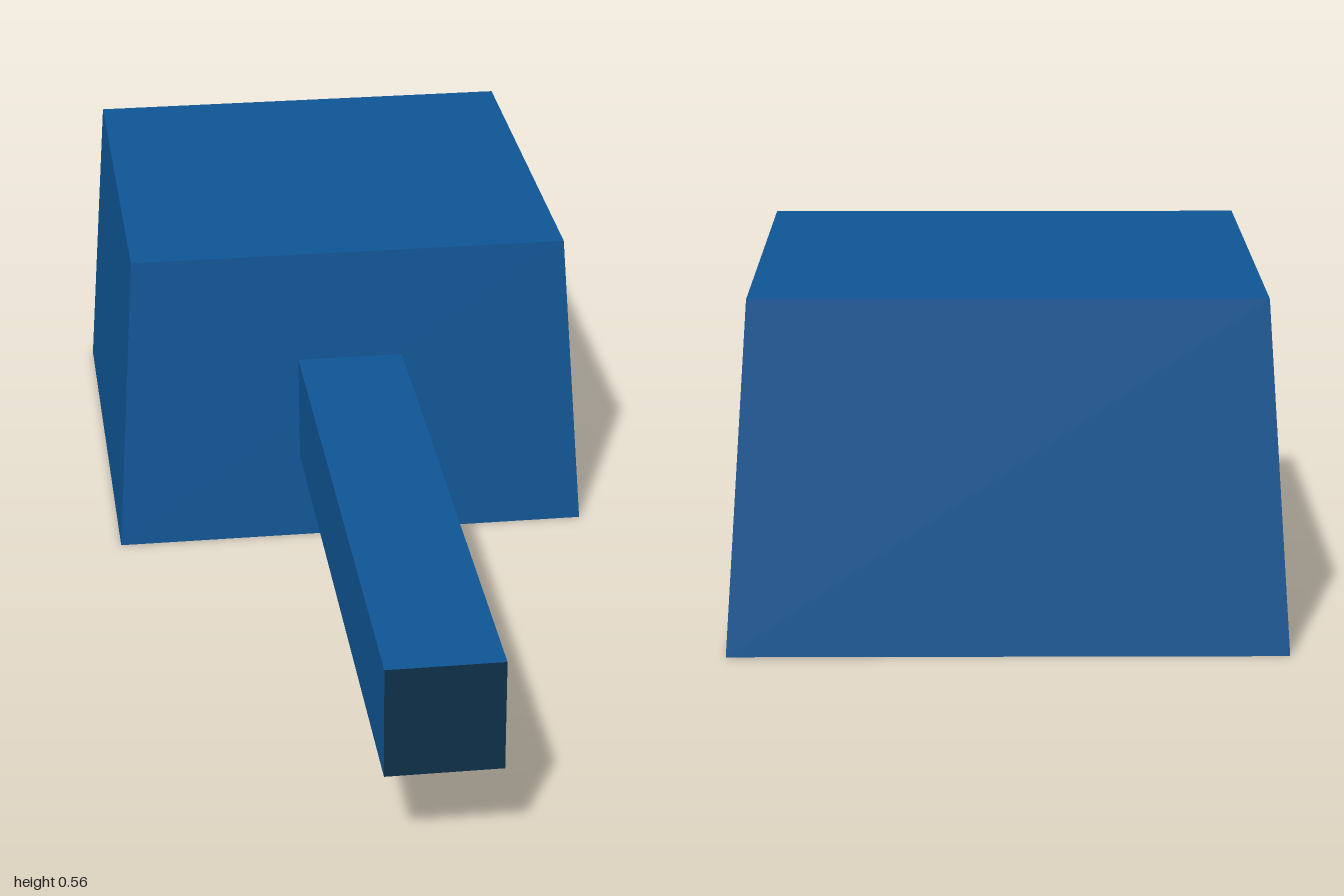
import * as THREE from 'three';

// Box standing on y = 0 that keeps only the listed faces (0 +x, 1 -x, 2 +y, 3 -y, 4 +z, 5 -z)
function partialBox(w, h, d, faces) {
  const geo = new THREE.BoxGeometry(w, h, d).translate(0, h / 2, 0);
  const index = Array.from(geo.index.array);
  geo.setIndex(faces.flatMap((f) => index.slice(f * 6, f * 6 + 6)));
  geo.clearGroups();
  return geo;
}

// Narrow a box evenly towards its top
function taper(geo, height, topScale) {
  const p = geo.attributes.position;
  for (let i = 0; i < p.count; i++) {
    const s = 1 + (topScale - 1) * (p.getY(i) / height);
    p.setX(i, p.getX(i) * s);
    p.setZ(i, p.getZ(i) * s);
  }
  geo.computeVertexNormals();
  return geo;
}

export function createModel() {
  const blue = new THREE.MeshStandardMaterial({ name: 'blue', color: 0x0f5594, side: THREE.DoubleSide });
  const darkBlue = new THREE.MeshStandardMaterial({ name: 'darkBlue', color: 0x0e3049, side: THREE.DoubleSide });

  const model = new THREE.Group();
  model.name = 'scoop';
  const add = (name, geo, material, y, z) => {
    const mesh = new THREE.Mesh(geo, material);
    mesh.name = name;
    mesh.position.set(0, y, z);
    model.add(mesh);
  };

  // Hollow tapered cup, open underneath
  const cupSize = 0.874, cupHeight = 0.557;
  const cup = taper(partialBox(cupSize, cupHeight, cupSize, [0, 1, 2, 4, 5]), cupHeight, 0.914);
  add('cup', cup, blue, 0, -0.563);

  // Square handle tube, its open rear end poking through the cup wall
  const width = 0.193, front = 1, rear = -0.205;
  const length = front - rear, middle = (front + rear) / 2;
  add('handle', partialBox(width, width, length, [0, 1, 2, 3]), blue, 0.159, middle);
  add('handleEnd', partialBox(width, width, length, [4]), darkBlue, 0.159, middle);

  return model;
}
